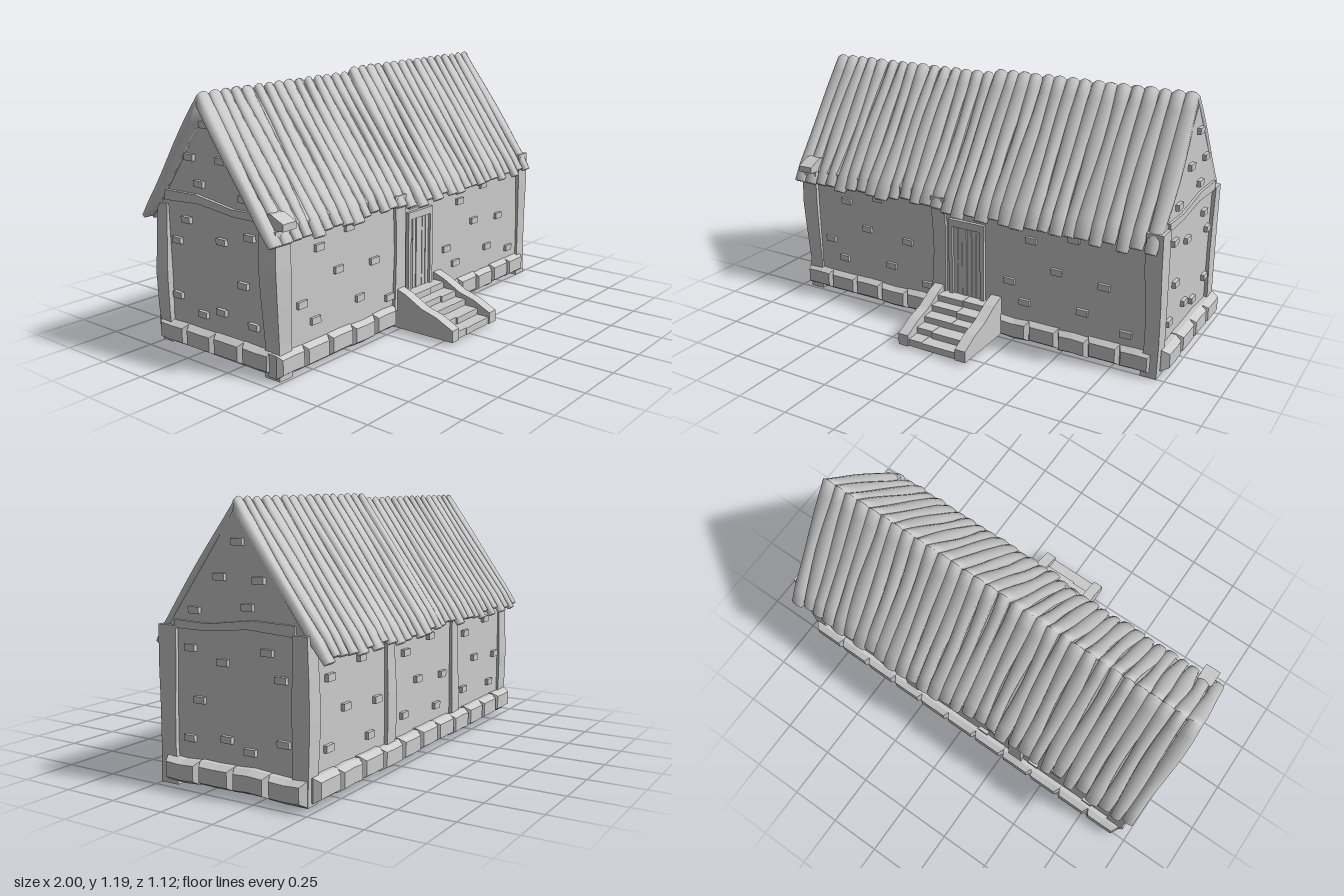
import * as THREE from 'three';
import { mergeVertices } from 'three/addons/utils/BufferGeometryUtils.js';

export function createModel() {
  const model = new THREE.Group();
  model.name = 'house';
  const flat = new THREE.MeshStandardMaterial({ color: 0xcccccc, flatShading: true });
  const smooth = new THREE.MeshStandardMaterial({ color: 0xcccccc });

  // seeded noise, -1..1
  let seed = 7;
  const rnd = () => {
    seed = (seed * 16807) % 2147483647;
    return (seed / 2147483647) * 2 - 1;
  };
  const group = (name, parent = model) => {
    const g = new THREE.Group();
    g.name = name;
    parent.add(g);
    return g;
  };
  const add = (name, geo, parent = model, mat = flat) => {
    const m = new THREE.Mesh(geo, mat);
    m.name = name;
    parent.add(m);
    return m;
  };
  const box = (name, x0, x1, y0, y1, z0, z1, parent) => {
    const m = add(name, new THREE.BoxGeometry(x1 - x0, y1 - y0, z1 - z0), parent);
    m.position.set((x0 + x1) / 2, (y0 + y1) / 2, (z0 + z1) / 2);
    return m;
  };
  const warp = (geo, rule) => {
    const p = geo.attributes.position, v = new THREE.Vector3();
    for (let i = 0; i < p.count; i++) {
      rule(v.fromBufferAttribute(p, i));
      p.setXYZ(i, v.x, v.y, v.z);
    }
    geo.computeVertexNormals();
    return geo;
  };
  // extrude a (z, y) outline along x
  const sideProfile = (name, pts, x0, x1, parent) => {
    const shape = new THREE.Shape(pts.map(([z, y]) => new THREE.Vector2(-z, y)));
    const geo = new THREE.ExtrudeGeometry(shape, { depth: x1 - x0, bevelEnabled: false });
    geo.rotateY(Math.PI / 2);
    const m = add(name, geo, parent);
    m.position.x = x0;
    return m;
  };

  // walls with gables
  const RIDGE_Z = -0.13;
  sideProfile('walls', [[0.235, 0.02], [0.235, 0.645], [RIDGE_Z, 1.14], [-0.47, 0.665], [-0.47, 0.02]], -0.93, 0.945);

  // crooked timber posts
  const posts = group('posts');
  const post = (x0, x1, z0, z1, y0, y1) => {
    const ph = rnd() * 3, geo = new THREE.BoxGeometry(x1 - x0, y1 - y0, z1 - z0, 1, 4, 1);
    const m = add('post', warp(geo, (v) => {
      const k = 1 - 0.1 * Math.sin(v.y * 9 + ph);
      v.x = v.x * k + 0.006 * Math.sin(v.y * 8 + ph);
      v.z *= k;
    }), posts);
    m.position.set((x0 + x1) / 2, (y0 + y1) / 2, (z0 + z1) / 2);
  };
  post(-0.95, -0.87, 0.16, 0.25, 0.01, 0.64);
  post(0.89, 0.962, 0.165, 0.25, 0.003, 0.67);
  post(-0.95, -0.87, -0.48, -0.41, 0.02, 0.65);
  post(0.89, 0.962, -0.485, -0.41, 0.02, 0.68);
  post(-0.185, -0.11, 0.2, 0.25, 0.1, 0.64);
  for (const x of [-0.32, 0.32]) post(x - 0.035, x + 0.035, -0.485, -0.42, 0.05, 0.65);

  // bent beams across both gables
  const beam = [[0.17, 0.66], [0.17, 0.695], [0, 0.69], [-0.22, 0.72], [-0.42, 0.715], [-0.42, 0.67], [-0.2, 0.682], [0, 0.66]];
  sideProfile('gableBeam', beam, 0.93, 0.957);
  sideProfile('gableBeam', beam, -0.945, -0.9);

  // foundation stones: blocks with a tapered outer face
  const stones = group('foundationStones');
  const stoneRow = (count, length, depth, x, y, z, turn) => {
    const row = group('stoneRow', stones);
    row.position.set(x, y, z);
    row.rotation.y = turn;
    const w = length / count;
    for (let i = 0; i < count; i++) {
      const bend = rnd() * 0.007;
      const geo = warp(new THREE.BoxGeometry(w, 0.1, depth, 2, 1, 2), (v) => {
        if (Math.abs(v.x) < 0.001) v.y += bend;
        if (v.z > 0.001) { v.x *= 0.82; v.y *= 0.66; }
        else if (v.z > -0.001) v.z += depth * 0.15;
      });
      const m = add('stone', geo, row);
      m.position.set((i + 0.5) * w - length / 2, rnd() * 0.005, 0);
    }
  };
  stoneRow(5, 0.77, 0.07, -0.57, 0.072, 0.23, 0);
  stoneRow(5, 0.75, 0.07, 0.56, 0.066, 0.23, 0);
  stoneRow(11, 1.88, 0.08, 0, 0.08, -0.478, Math.PI);
  stoneRow(4, 0.69, 0.09, 0.955, 0.077, -0.135, Math.PI / 2);
  stoneRow(4, 0.69, 0.08, -0.925, 0.077, -0.135, -Math.PI / 2);

  // protruding bricks
  const bricks = group('bricks');
  const frontBricks = [[-0.69, 0.52], [-0.5, 0.565], [-0.57, 0.395], [-0.33, 0.375], [-0.8, 0.3], [-0.72, 0.21],
    [-0.43, 0.23], [-0.22, 0.175], [-0.05, 0.575], [0.34, 0.52], [0.55, 0.565], [0.47, 0.395], [0.7, 0.375],
    [0.23, 0.3], [0.31, 0.21], [0.6, 0.23], [0.81, 0.175]];
  for (const [x, y] of frontBricks) box('brick', x - 0.027, x + 0.027, y - 0.015, y + 0.015, 0.22, 0.249, bricks);
  for (const px of [-0.62, 0, 0.62]) {
    for (const [x, y] of [[0.18, 0.5], [-0.06, 0.54], [0.06, 0.36], [-0.19, 0.34], [0.19, 0.22], [-0.13, 0.2]])
      box('brick', px + x - 0.027, px + x + 0.027, y - 0.015, y + 0.015, -0.487, -0.45, bricks);
  }
  const gableBricks = [[-0.155, 1.02], [-0.065, 0.88], [-0.255, 0.875], [0.065, 0.74], [-0.2, 0.768], [0.09, 0.585],
    [-0.075, 0.54], [-0.29, 0.6], [-0.355, 0.5], [0.045, 0.375], [0.1, 0.21], [-0.09, 0.23], [-0.205, 0.195], [-0.365, 0.25]];
  for (const [z, y] of gableBricks) {
    box('brick', 0.93, 0.962, y - 0.014, y + 0.014, z - 0.027, z + 0.027, bricks);
    box('brick', -0.947, -0.91, y - 0.014, y + 0.014, z - 0.027, z + 0.027, bricks);
  }

  // roof planks: bulged strips, mitred at the ridge and rounded at the eave
  const PITCH = 0.944;
  const plank = (w, L) => {
    const ph = rnd() * 3;
    let geo = new THREE.BoxGeometry(w, 0.025, L, 4, 1, 8);
    geo.deleteAttribute('normal');
    geo.deleteAttribute('uv');
    geo = mergeVertices(geo, 1e-5);
    return warp(geo, (v) => {
      const t = v.z / L + 0.5, u = (2 * v.x) / w;
      v.y = v.y > 0 ? 0.01 * (1 - u * u) : -0.025;
      v.x = v.x * (1 + 0.14 * Math.sin(t * 6 + ph)) + 0.004 * Math.sin(t * 5 + ph * 2);
      if (t > 0.99) { v.x *= 0.86; v.y = v.y * 0.7 - 0.004; }
      v.z += L / 2 - v.y * Math.tan(PITCH) * (1 - t);
    });
  };
  for (const s of [1, -1]) {
    const side = group(s > 0 ? 'frontRoof' : 'backRoof');
    const count = 31, w = 1.94 / count;
    for (let i = 0; i < count; i++) {
      const x = -0.995 + (i + 0.5) * w, rightHalf = x > -0.06;
      const L = (rightHalf ? 0.715 : 0.685) + (s < 0 ? 0.005 : 0) + rnd() * 0.016;
      const m = add('roofPlank', plank(w * (1.02 + rnd() * 0.08), L), side, smooth);
      const lift = rightHalf ? 1.17 + 0.005 * x : 1.152 + 0.008 * x;
      m.position.set(x, lift + rnd() * 0.002, RIDGE_Z);
      m.rotation.set(PITCH, s > 0 ? 0 : Math.PI, 0, 'YXZ');
    }
  }
  // beam end poking through the eave
  sideProfile('beamEnd', [[0.16, 0.64], [0.16, 0.7], [0.22, 0.705], [0.285, 0.675], [0.285, 0.645]], -0.945, -0.87);

  // door with frame and planks
  const door = group('door');
  box('frameLeft', 0.08, 0.1, 0.16, 0.545, 0.22, 0.252, door);
  box('frameRight', -0.09, -0.07, 0.16, 0.545, 0.22, 0.252, door);
  box('frameTop', -0.07, 0.08, 0.51, 0.545, 0.22, 0.252, door);
  for (let i = 0; i < 6; i++) {
    const x = -0.07 + i * 0.025;
    box('doorPlank', x + 0.001, x + 0.023, 0.16, 0.51, 0.22, 0.242 + rnd() * 0.002, door);
  }

  // stairs between two sloping side walls
  const stairs = group('stairs');
  const rail = [[0.22, 0.015], [0.56, 0.015], [0.56, 0.07], [0.47, 0.113], [0.39, 0.135], [0.3, 0.183], [0.24, 0.205], [0.22, 0.205]];
  sideProfile('stairWall', rail, -0.172, -0.12, stairs);
  sideProfile('stairWall', rail, 0.132, 0.186, stairs);
  for (let i = 0; i < 5; i++) {
    const z = 0.55 - i * 0.062, y = 0.05 + i * 0.03, split = 0.005 + rnd() * 0.06;
    box('tread', -0.125, split, y - 0.034, y, z - 0.075, z + rnd() * 0.005, stairs);
    box('tread', split, 0.135, y - 0.034, y - 0.002, z - 0.075, z + rnd() * 0.005, stairs);
  }
  return model;
}
